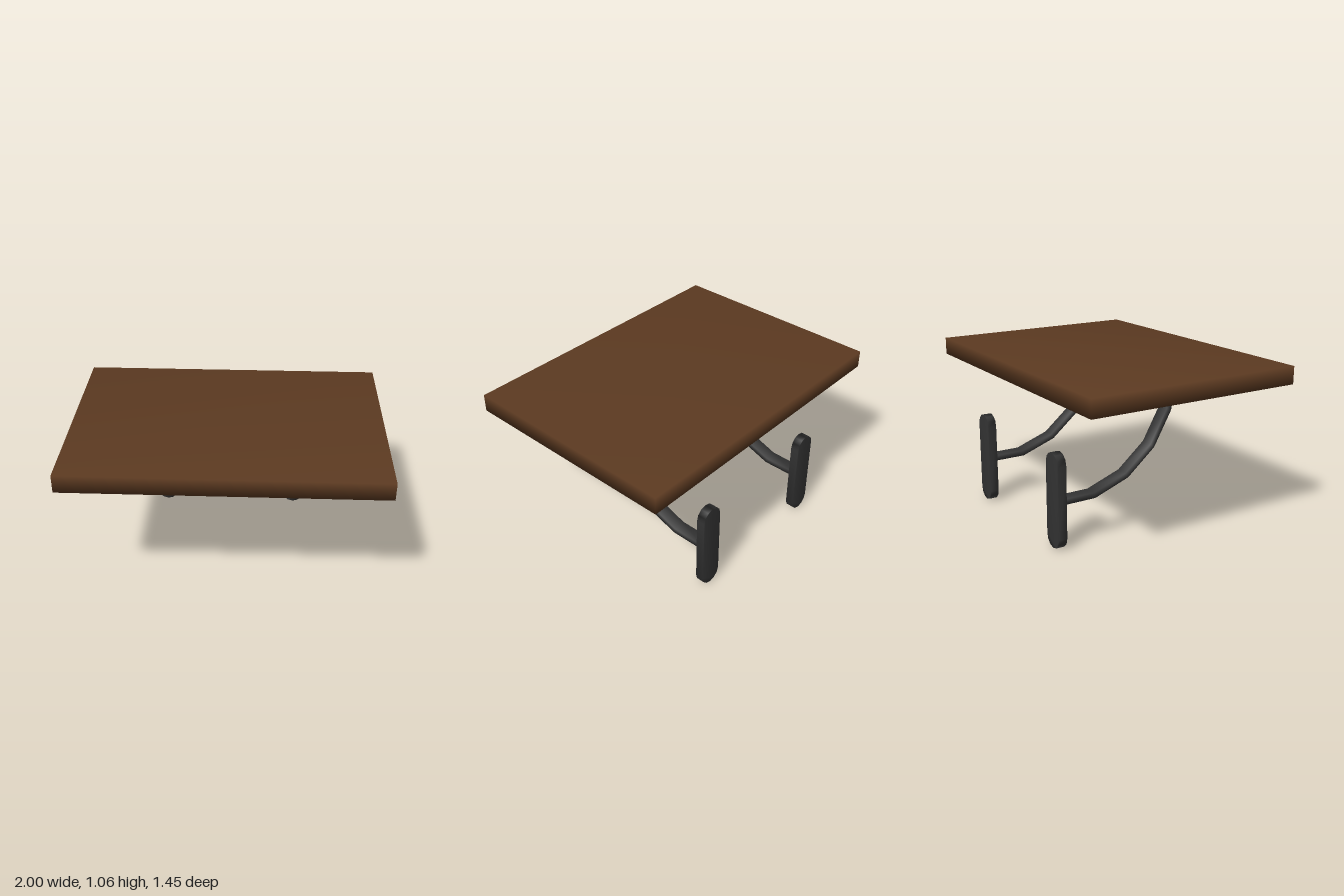
import * as THREE from 'three';
import { mergeVertices } from 'three/addons/utils/BufferGeometryUtils.js';

// Weld corners so shading runs softly across the edges
function soften(geometry) {
  geometry.deleteAttribute('normal');
  geometry.deleteAttribute('uv');
  const welded = mergeVertices(geometry, 1e-4);
  welded.clearGroups();
  welded.computeVertexNormals();
  return welded;
}

// Extrude a shape, centred on its depth
function slab(points, depth) {
  const geometry = new THREE.ExtrudeGeometry(new THREE.Shape(points), { depth, bevelEnabled: false });
  return geometry.translate(0, 0, -depth / 2);
}

// Outline of a strip of even thickness along a path, with mitred bends
function stripOutline(path, half) {
  const sides = [[], []];
  path.forEach((p, i) => {
    const a = p.clone().sub(path[Math.max(i - 1, 0)]).normalize();
    const b = path[Math.min(i + 1, path.length - 1)].clone().sub(p).normalize();
    const t = a.clone().add(b).normalize();
    const ref = a.lengthSq() > 0 ? a : b;
    const n = new THREE.Vector2(-t.y, t.x).multiplyScalar(half / t.dot(ref));
    sides[0].push(p.clone().sub(n));
    sides[1].push(p.clone().add(n));
  });
  return [...sides[0], ...sides[1].reverse()];
}

// Upright plate outline with rounded ends
function plateOutline(radius, height, steps) {
  const points = [];
  for (const end of [0, 1]) {
    for (let i = 0; i <= steps; i++) {
      const a = Math.PI * (end + 1 + i / steps);
      const cy = end === 0 ? radius : height - radius;
      points.push(new THREE.Vector2(radius * Math.cos(a), cy + radius * Math.sin(a)));
    }
  }
  return points;
}

export function createModel() {
  const model = new THREE.Group();
  model.name = 'wallShelf';

  const wood = new THREE.MeshStandardMaterial({ color: 0x5c3a21 });
  wood.name = 'dark wood';
  const metal = new THREE.MeshStandardMaterial({ color: 0x333333 });
  metal.name = 'dark metal';

  // Shelf board
  const board = new THREE.Mesh(soften(new THREE.BoxGeometry(2, 0.115, 1.454)), wood);
  board.name = 'board';
  board.position.y = 1.004;
  model.add(board);

  // Curved arm, drawn in (z, y) and turned to face sideways
  const path = [[-0.65, 0.3], [-0.42, 0.3], [-0.185, 0.385], [0.006, 0.546], [0.13, 0.765], [0.163, 0.955]]
    .map(([z, y]) => new THREE.Vector2(z, y));
  const armGeometry = soften(slab(stripOutline(path, 0.018), 0.084).rotateY(-Math.PI / 2));

  // Wall plate
  const plateGeometry = soften(slab(plateOutline(0.075, 0.613, 6), 0.056));

  for (const [x, side] of [[-0.49, 'right'], [0.473, 'left']]) {
    const bracket = new THREE.Group();
    bracket.name = side + 'Bracket';
    bracket.position.x = x;
    const plate = new THREE.Mesh(plateGeometry, metal);
    plate.name = 'wallPlate';
    plate.position.z = -0.664;
    const arm = new THREE.Mesh(armGeometry, metal);
    arm.name = 'arm';
    bracket.add(plate, arm);
    model.add(bracket);
  }
  return model;
}
